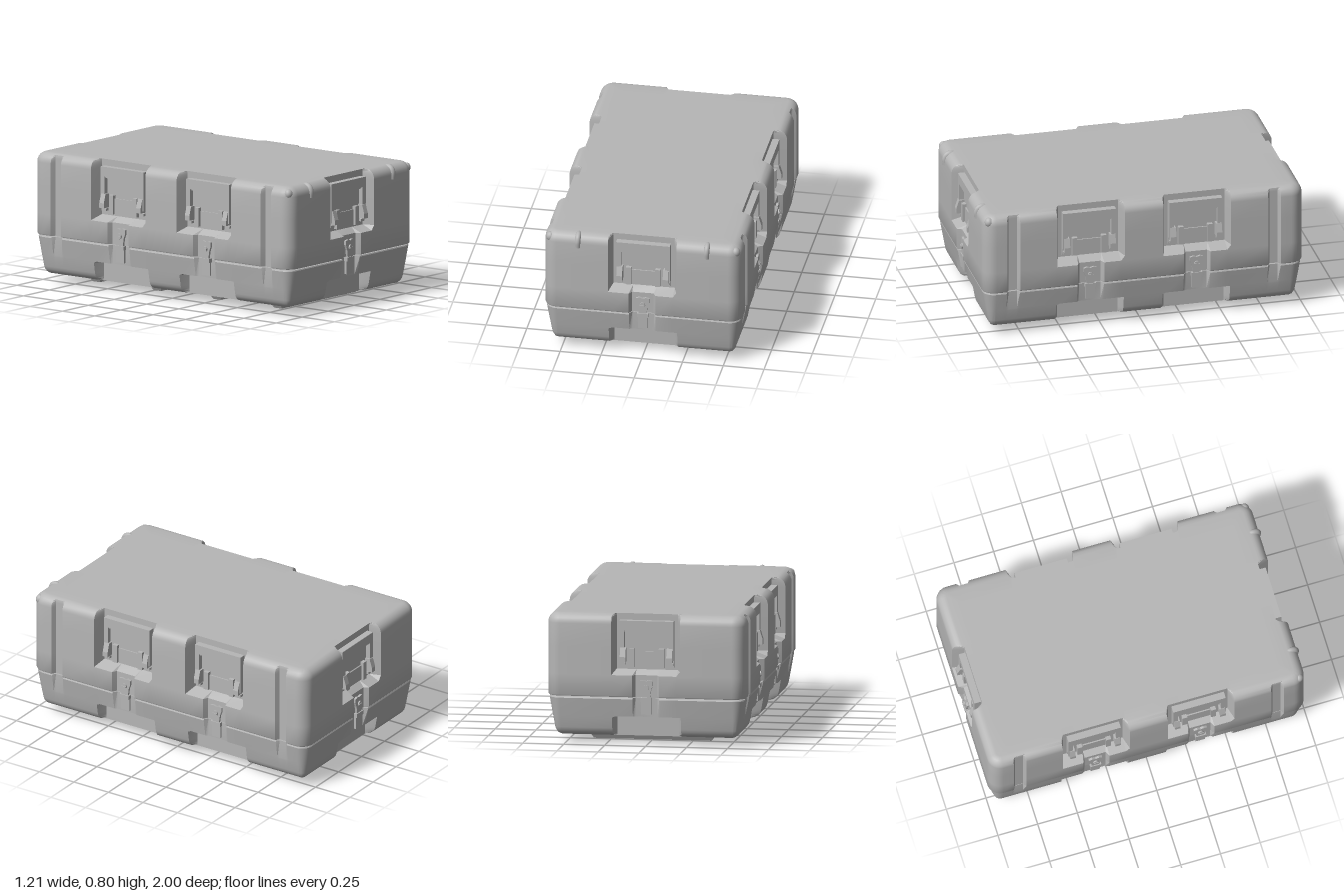
import * as THREE from 'three';
import { toCreasedNormals } from 'three/addons/utils/BufferGeometryUtils.js';

const HX = 0.605, HZ = 0.994, CORNER = 0.08;
const clamp = (v, a, b) => Math.min(b, Math.max(a, v));
// 1 inside |d| < inner, falling to 0 at outer
const plateau = (d, inner, outer) => clamp((outer - Math.abs(d)) / (outer - inner), 0, 1);

const BAYS = { long: [-0.33, 0.33], short: [0] };

// How far the wall is pressed in at position t along a side and height y
function recess(side, t, y, isLid) {
  let depth = 0;
  for (const c of BAYS[side]) {
    const wide = plateau(t - c, 0.187, 0.21);
    const narrow = plateau(t - c, 0.066, 0.082);
    if (isLid) {
      const handleBay = Math.min(wide, clamp((y - 0.43) / 0.03, 0, 1));
      depth = Math.max(depth, handleBay * (side === 'long' ? 0.08 : 0.07), narrow * 0.03);
    } else {
      const stackingBay = Math.min(wide, clamp((0.175 - y) / 0.01, 0, 1));
      depth = Math.max(depth, stackingBay * 0.1, narrow * 0.036);
    }
  }
  if (side === 'long') depth = Math.max(depth, 0.028 * plateau(Math.abs(t) - 0.81, 0.025, 0.04));
  return depth;
}

function sideStops(side) {
  const s = [];
  for (const c of BAYS[side]) for (const d of [0.21, 0.187, 0.082, 0.066]) s.push(c - d, c + d);
  if (side === 'long') for (const d of [0.85, 0.835, 0.785, 0.77]) s.push(-d, d);
  return s.sort((a, b) => a - b);
}

// One closed cross-section: four straight sides and four rounded corners
function ring(y, inset, isLid) {
  const hx = HX - inset, hz = HZ - inset, r = Math.max(CORNER - inset, 0.005);
  const pts = [];
  for (let k = 0; k < 4; k++) {
    const isLong = k % 2 === 0, side = isLong ? 'long' : 'short';
    const out = isLong ? hx : hz, half = (isLong ? hz : hx) - r;
    const a = k * Math.PI / 2, c = Math.round(Math.cos(a)), s = Math.round(Math.sin(a));
    const put = (u, v) => pts.push([c * u - s * v, y, s * u + c * v]);
    for (const t of sideStops(side)) {
      const press = Math.max(0, recess(side, t, y, isLid) - inset);
      put(out - press, clamp(t, -half, half));
    }
    for (let i = 0; i <= 8; i++) {
      const b = i / 8 * Math.PI / 2;
      put(out - r + r * Math.cos(b), half + r * Math.sin(b));
    }
  }
  return pts;
}

// Skin a shell through levels [y, inset]; inset null closes it at the centre
function shell(levels, isLid) {
  const count = ring(0, 0, isLid).length;
  const rings = levels.map(([y, inset]) =>
    inset === null ? Array.from({ length: count }, () => [0, y, 0]) : ring(y, inset, isLid));
  const pos = [];
  for (let i = 0; i + 1 < rings.length; i++) {
    for (let j = 0; j < count; j++) {
      const n = (j + 1) % count;
      const a = rings[i][j], b = rings[i][n], c = rings[i + 1][n], d = rings[i + 1][j];
      if (levels[i][1] !== null) pos.push(...a, ...d, ...b);
      if (levels[i + 1][1] !== null) pos.push(...b, ...d, ...c);
    }
  }
  const g = new THREE.BufferGeometry();
  g.setAttribute('position', new THREE.Float32BufferAttribute(pos, 3));
  g.computeVertexNormals();
  return toCreasedNormals(g, 0.55);
}

export function createModel() {
  const model = new THREE.Group();
  model.name = 'transitCase';
  const body = new THREE.Group();
  body.name = 'caseBody';
  body.position.z = -0.006;
  model.add(body);
  const grey = new THREE.MeshStandardMaterial({ color: 0xb6b6b6 });
  grey.name = 'caseGrey';

  const add = (parent, name, geometry, x = 0, y = 0, z = 0) => {
    const m = new THREE.Mesh(geometry, grey);
    m.name = name;
    m.position.set(x, y, z);
    parent.add(m);
    return m;
  };
  const box = (parent, name, x0, x1, y0, y1, z0, z1) => add(parent, name,
    new THREE.BoxGeometry(x1 - x0, y1 - y0, z1 - z0), (x0 + x1) / 2, (y0 + y1) / 2, (z0 + z1) / 2);
  const extrude = (points, depth) => new THREE.ExtrudeGeometry(
    new THREE.Shape(points.map(p => new THREE.Vector2(...p))), { depth, bevelEnabled: false });

  // Lid with rounded top edge
  const lid = [[0.297, 0.05], [0.297, 0.004], [0.304, 0], [0.43, 0], [0.46, 0], [0.6, 0]];
  for (let i = 0; i <= 6; i++) {
    const a = i / 6 * Math.PI / 2;
    lid.push([0.74 + 0.06 * Math.sin(a), 0.06 * (1 - Math.cos(a))]);
  }
  lid.push([0.8, 0.14], [0.8, null]);
  add(body, 'lid', shell(lid, true));

  // Tapered base with a lip tucked under the lid
  const base = [[0.05, null], [0.05, 0.15], [0.05, 0.095], [0.055, 0.075], [0.066, 0.058],
    [0.082, 0.047], [0.1, 0.041], [0.165, 0.029], [0.175, 0.027], [0.283, 0.008],
    [0.29, 0.011], [0.29, 0.05], [0.31, 0.05]];
  add(body, 'base', shell(base, false));

  // Skid bars under the base
  for (const z of [-0.7, -0.23, 0.23, 0.7]) {
    const g = new THREE.BoxGeometry(0.78, 0.055, 0.115).toNonIndexed();
    const p = g.attributes.position;
    for (let i = 0; i < p.count; i++) {
      if (p.getY(i) < 0) p.setXYZ(i, p.getX(i) * 0.92, p.getY(i), p.getZ(i) * 0.5);
    }
    g.computeVertexNormals();
    add(body, 'skidBar', g, 0, 0.0275, z + 0.006);
  }

  // Fold-down handle, facing +z from the bay floor at z = 0
  const buildHandle = () => {
    const h = new THREE.Group();
    h.name = 'handle';
    box(h, 'handlePlate', -0.165, 0.165, 0.475, 0.76, -0.005, 0.012);
    const frame = [[-0.165, 0.52], [-0.165, 0.76], [0.165, 0.76], [0.165, 0.52],
      [0.135, 0.52], [0.135, 0.70], [-0.135, 0.70], [-0.135, 0.52]];
    add(h, 'handleFrame', extrude(frame, 0.042));
    box(h, 'gripBar', -0.135, 0.135, 0.69, 0.705, 0.005, 0.03);
    box(h, 'hingePlate', -0.075, 0.075, 0.475, 0.57, 0, 0.02);
    for (const s of [-1, 1]) {
      const foot = [[0, 0.595], [0, 0.51], [0.062, 0.51], [0.062, 0.54], [0.045, 0.595]];
      const f = add(h, 'handleFoot', extrude(foot, 0.035), s * 0.142 + 0.0175);
      f.rotation.y = -Math.PI / 2;
      box(h, 'hingePost', s * 0.09 - 0.016, s * 0.09 + 0.016, 0.475, 0.59, 0, 0.036);
      box(h, 'footPad', s * 0.145 - 0.017, s * 0.145 + 0.017, 0.49, 0.505, 0, 0.035);
    }
    return h;
  };

  // Twist latch, facing +z from the channel floor at z = 0
  const buildLatch = () => {
    const l = new THREE.Group();
    l.name = 'latch';
    const plate = [[-0.022, 0.285], [0.022, 0.285], [0.026, 0.31], [0.03, 0.34], [0.041, 0.37],
      [0.041, 0.395], [0.02, 0.402], [0, 0.395], [-0.02, 0.402], [-0.041, 0.395],
      [-0.041, 0.37], [-0.03, 0.34], [-0.026, 0.31]];
    add(l, 'latchPlate', extrude(plate, 0.014));
    const knob = add(l, 'latchKnob', new THREE.CylinderGeometry(0.017, 0.017, 0.012, 20), 0, 0.353, 0.017);
    knob.rotation.x = Math.PI / 2;
    box(l, 'latchKey', -0.016, 0.016, 0.35, 0.356, 0.02, 0.027);
    box(l, 'latchHook', -0.034, 0.034, 0.27, 0.295, -0.006, 0.02);
    box(l, 'latchTab', -0.03, 0.03, 0.19, 0.272, -0.012, 0.008);
    return l;
  };

  // A handle and latch in each bay on all four sides
  const fit = (turn, along, reach, bayDepth) => {
    const side = new THREE.Group();
    side.name = 'hardware';
    side.rotation.y = turn;
    const handle = buildHandle(), latch = buildLatch();
    handle.position.set(along, 0, reach - bayDepth);
    latch.position.set(along, 0, reach - 0.03);
    side.add(handle, latch);
    body.add(side);
  };
  for (const s of [-1, 1]) {
    fit(s > 0 ? 0 : Math.PI, 0, HZ, 0.07);
    for (const z of BAYS.long) fit(s * Math.PI / 2, z, HX, 0.08);
  }

  // Curved ribs and small corner caps on the front top edge
  const ribPath = new THREE.CatmullRomCurve3([[0.715, 0.985], [0.755, 0.988], [0.776, 0.979],
    [0.786, 0.96], [0.782, 0.935]].map(([y, z]) => new THREE.Vector3(0, y, z)));
  for (const s of [-1, 1]) {
    add(body, 'frontRib', new THREE.TubeGeometry(ribPath, 20, 0.018, 12), s * 0.395);
    const endCap = add(body, 'ribEnd', new THREE.CircleGeometry(0.018, 12), s * 0.395, 0.715, 0.985);
    endCap.rotation.x = Math.PI / 2;
    const cap = add(body, 'cornerCap', new THREE.SphereGeometry(0.03, 16, 10), s * 0.568, 0.758, 0.955);
    cap.scale.set(0.9, 1, 0.9);
  }
  return model;
}
